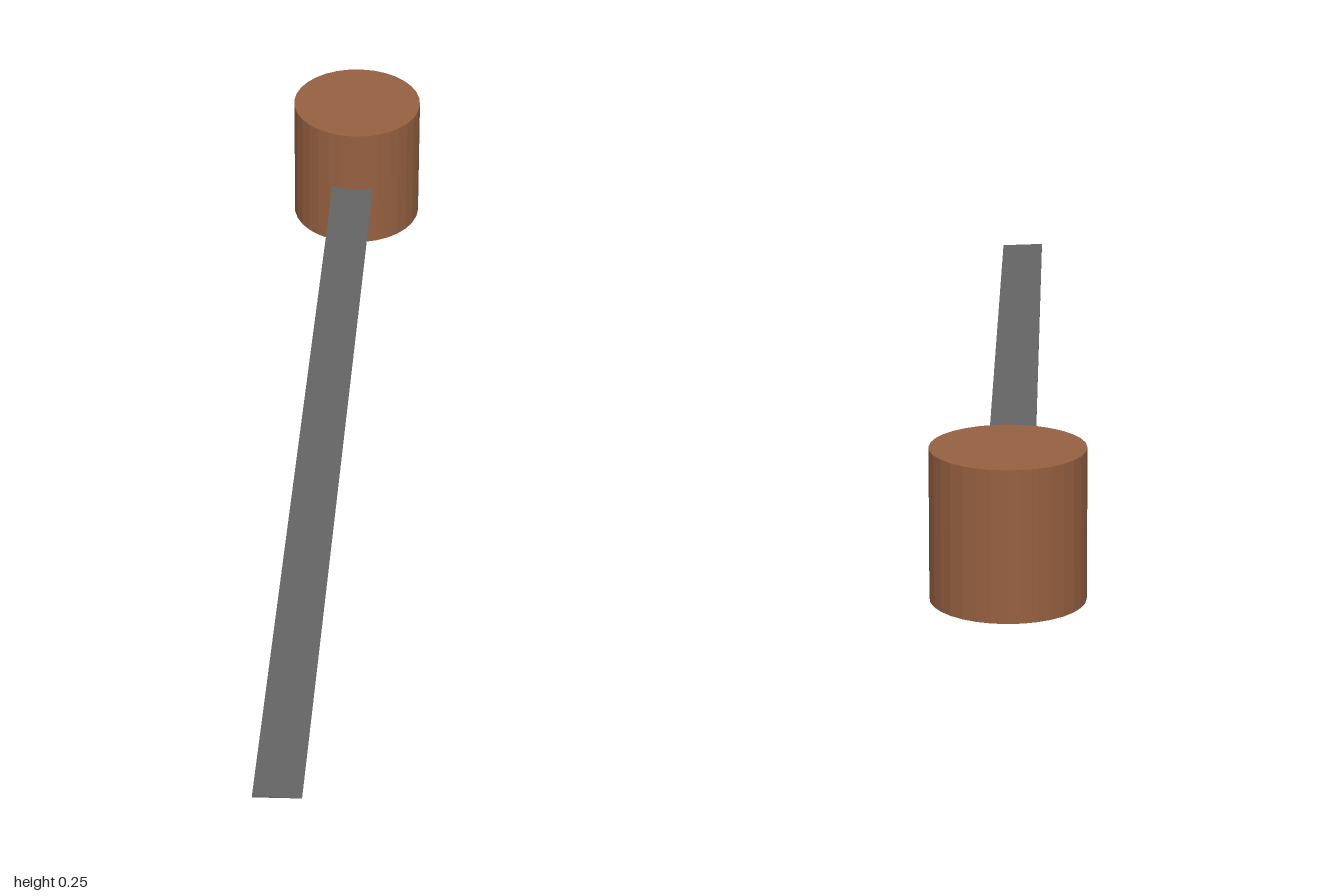
import * as THREE from 'three';

export function createModel() {
  const model = new THREE.Group();
  model.name = 'bladeWithRoundHandle';

  const wood = new THREE.MeshStandardMaterial({ color: 0x966041, flatShading: true });
  wood.name = 'brown wood';
  const steel = new THREE.MeshStandardMaterial({ color: 0x656565, flatShading: true });
  steel.name = 'grey steel';

  // Upright round handle at the back end
  const radius = 0.125;
  const handle = new THREE.Mesh(new THREE.CylinderGeometry(radius, radius, 0.25, 32), wood);
  handle.name = 'handle';
  handle.position.set(0, 0.125, -0.875);
  model.add(handle);

  // Long blade: wedge section, thick spine on -x, sharp edge on +x
  const halfWidth = 0.04, halfSpine = 0.003, back = -0.77, tip = 1;
  const section = new THREE.Shape([
    new THREE.Vector2(-halfWidth, -halfSpine),
    new THREE.Vector2(halfWidth, 0),
    new THREE.Vector2(-halfWidth, halfSpine),
  ]);
  const blade = new THREE.Mesh(
    new THREE.ExtrudeGeometry(section, { depth: tip - back, bevelEnabled: false }),
    steel
  );
  blade.name = 'blade';
  blade.position.set(0, 0.125, back);
  model.add(blade);

  return model;
}
